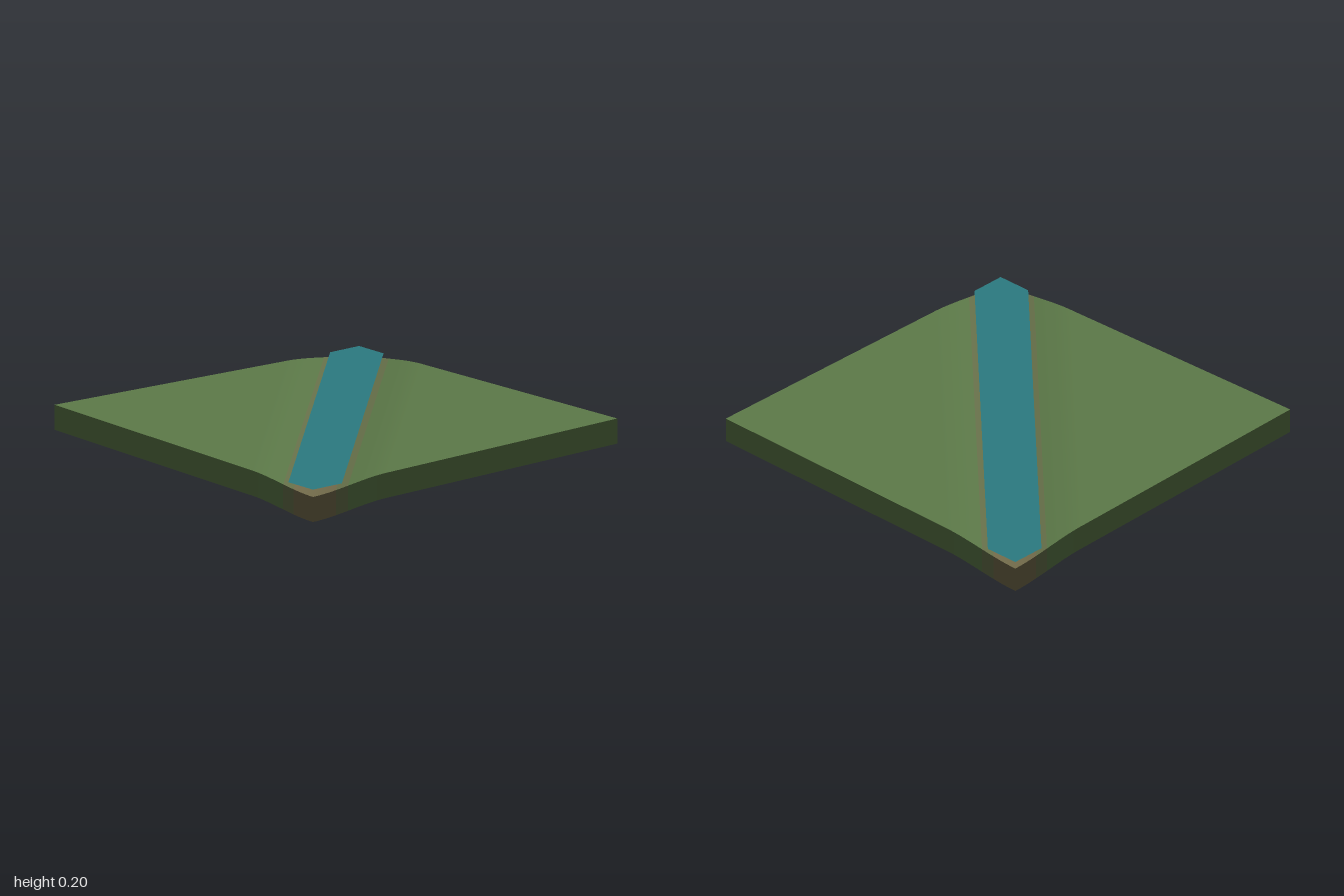
import * as THREE from 'three';

const SKIRT = 0.13;
const WATER_LEVEL = 0.168;
const WATER_REACH = 0.19;

// Ground height; s = x + z is the offset across the river
function height(s) {
  const d = Math.abs(s);
  const bank = 0.043 * THREE.MathUtils.smoothstep(d, 0, 0.5);
  const rise = (s < 0 ? 0.032 : 0.022) * Math.max(0, d - 0.5) / 1.5;
  return SKIRT + bank + rise;
}

function groundNormal(s) {
  const e = 0.002;
  const g = (height(s + e) - height(s - e)) / (2 * e);
  return new THREE.Vector3(-g, 1, -g).normalize();
}

// End of the line x + z = s where it meets the square's border (side 0 or 1)
function borderPoint(s, side, y) {
  const x = side === 0 ? Math.max(-1, s - 1) : Math.min(1, s + 1);
  return new THREE.Vector3(x, y, s - x);
}

// A diagonal band of ground between two offsets, with the skirt hanging from
// its border; the skirt shares the ground's normals so both shade as one
function groundBand(name, from, to, steps, color) {
  const pos = [];
  const nor = [];
  const index = [];
  for (let i = 0; i <= steps; i++) {
    const s = from + (to - from) * i / steps;
    const y = height(s);
    const row = [
      borderPoint(s, 0, y - SKIRT), borderPoint(s, 0, y),
      borderPoint(s, 1, y), borderPoint(s, 1, y - SKIRT)
    ];
    for (const p of row) {
      pos.push(...p.toArray());
      nor.push(...groundNormal(s).toArray());
    }
    if (i === steps) break;
    for (let k = 0; k < 3; k++) {
      const a = i * 4 + k;
      index.push(a, a + 4, a + 5, a, a + 5, a + 1);
    }
  }
  const geometry = new THREE.BufferGeometry();
  geometry.setAttribute('position', new THREE.Float32BufferAttribute(pos, 3));
  geometry.setAttribute('normal', new THREE.Float32BufferAttribute(nor, 3));
  geometry.setIndex(index);
  const mesh = new THREE.Mesh(
    geometry,
    new THREE.MeshStandardMaterial({ color, side: THREE.DoubleSide })
  );
  mesh.name = name;
  return mesh;
}

export function createModel() {
  const group = new THREE.Group();
  group.name = 'riverTile';

  // Earthy riverbed fading into grass on both banks
  group.add(groundBand('riverbed', -0.15, 0.15, 10, 0x736c4b));
  for (const side of [-1, 1]) {
    const band = (name, a, b, steps, color) =>
      group.add(groundBand(name, Math.min(side * a, side * b), Math.max(side * a, side * b), steps, color));
    band('riverbank', 0.15, 0.23, 4, 0x67714a);
    band('grassSlope', 0.23, 0.5, 12, 0x5c7948);
    band('grassField', 0.5, 2, 12, 0x5c7948);
  }

  // Flat water sheet, drawn in (x, -z) and laid down
  const w = WATER_REACH;
  const outline = [[-1, -1], [w - 1, -1], [1, 1 - w], [1, 1], [1 - w, 1], [-1, w - 1]]
    .map(([x, y]) => new THREE.Vector2(x, y));
  const water = new THREE.Mesh(
    new THREE.ShapeGeometry(new THREE.Shape(outline)),
    new THREE.MeshStandardMaterial({ color: 0x2b7a80, side: THREE.DoubleSide })
  );
  water.name = 'water';
  water.rotation.x = -Math.PI / 2;
  water.position.y = WATER_LEVEL;
  group.add(water);

  return group;
}
